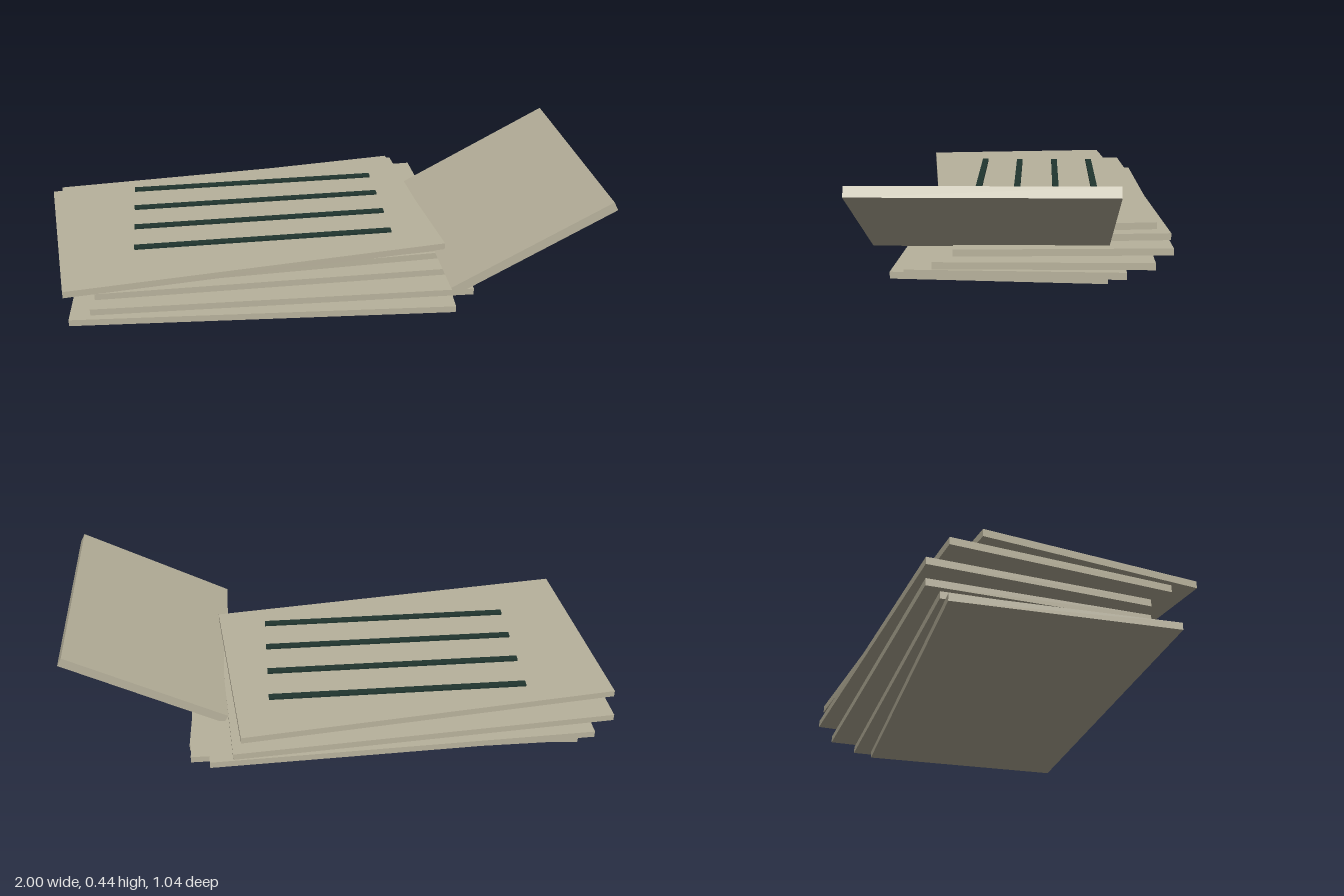
import * as THREE from 'three';

export function createModel() {
  const group = new THREE.Group();
  group.name = 'sheetStack';

  const paper = new THREE.MeshStandardMaterial({ color: 0xb8b29c });
  paper.name = 'paper';
  const ink = new THREE.MeshStandardMaterial({ color: 0x20352f });
  ink.name = 'ink';

  function addBox(name, size, position, material) {
    const mesh = new THREE.Mesh(new THREE.BoxGeometry(...size), material);
    mesh.name = name;
    mesh.position.set(...position);
    group.add(mesh);
    return mesh;
  }

  // Fanned sheets, bottom to top: centre x and z, each turned a little further
  const centres = [
    [-0.2, 0.035], [-0.135, 0], [-0.131, -0.073],
    [-0.188, -0.117], [-0.256, -0.093], [-0.27, -0.023],
  ];
  centres.forEach(([x, z], i) => {
    const sheet = addBox(`sheet${i + 1}`, [1.387, 0.025, 0.757], [x, 0.0125 + i * 0.0318, z], paper);
    sheet.rotation.y = (i - 2) * 0.035;
  });

  // Written lines just above the top sheet
  for (let i = 0; i < 4; i++) {
    addBox(`writtenLine${i + 1}`, [0.95, 0.008, 0.025], [-0.2, 0.199, -0.273 + i * 0.1515], ink);
  }

  // Loose sheet leaning up at the side
  const flap = addBox('leaningSheet', [0.634, 0.036, 0.82], [0.7125, 0.2785, 0.108], paper);
  flap.rotation.z = 0.495;

  return group;
}
